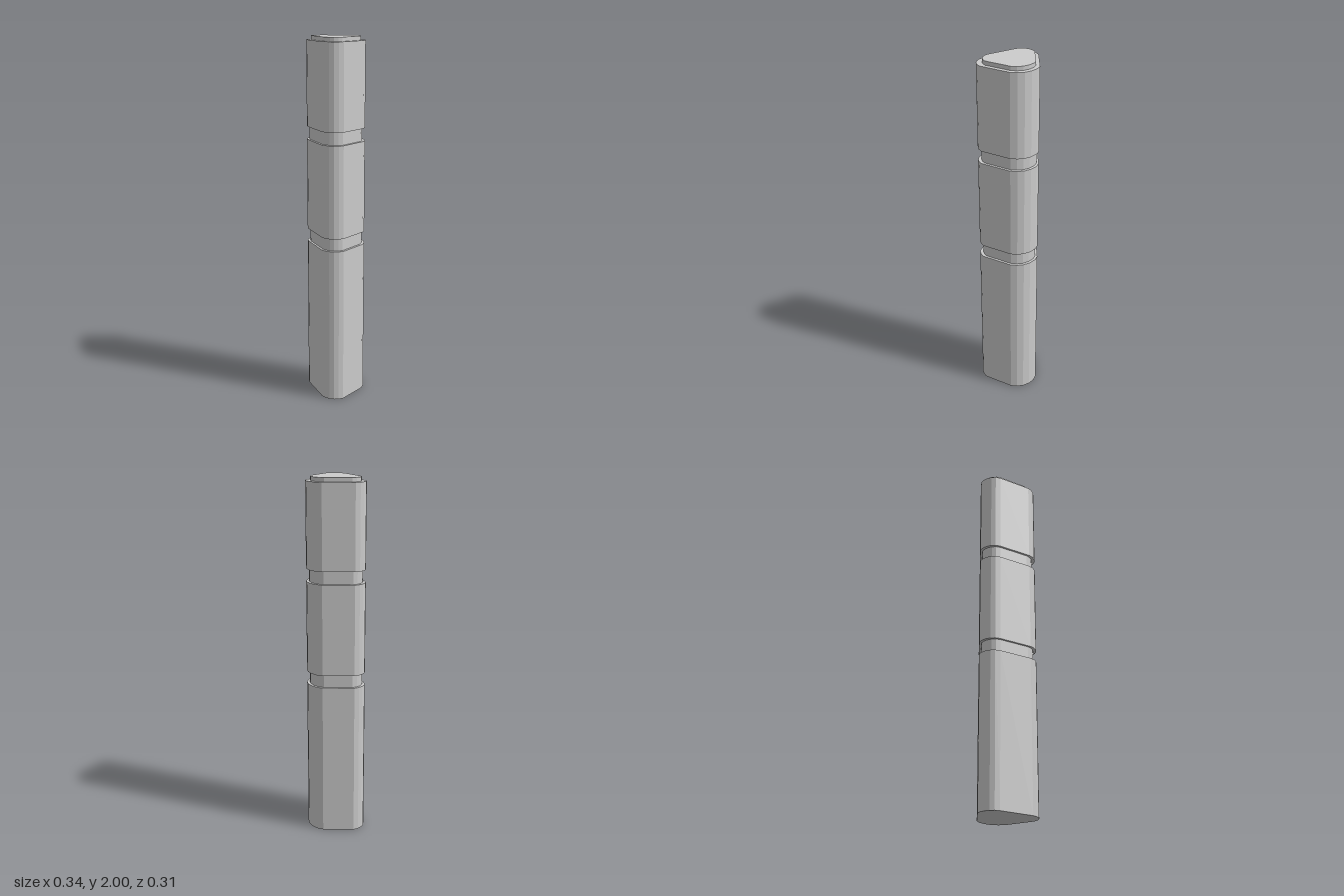
import * as THREE from 'three';

// Rounded-triangle cross-section as [x, z]
const OUTLINE = [
  [-0.038, -0.139], [-0.004, -0.153], [0.038, -0.154], [0.076, -0.143], [0.106, -0.121], [0.128, -0.091],
  [0.168, 0.079], [0.16, 0.105], [0.146, 0.127], [0.124, 0.143], [0.097, 0.152], [0.069, 0.152],
  [-0.119, 0.098], [-0.144, 0.084], [-0.16, 0.064], [-0.169, 0.038], [-0.17, 0.0125], [-0.162, -0.016],
];

// Stacked sections: name, bottom, top, outline scale
const SECTIONS = [
  ['lowerSegment', 0, 0.866, 1],
  ['lowerNeck', 0.866, 0.936, 0.905],
  ['middleSegment', 0.936, 1.443, 1],
  ['upperNeck', 1.443, 1.513, 0.905],
  ['upperSegment', 1.513, 1.978, 1],
  ['topCap', 1.978, 2, 0.84],
];

// Upright prism of the scaled outline between two heights
function prism(bottom, top, scale) {
  const shape = new THREE.Shape(OUTLINE.map(([x, z]) => new THREE.Vector2(x * scale, -z * scale)));
  const geometry = new THREE.ExtrudeGeometry(shape, { depth: top - bottom, bevelEnabled: false });
  return geometry.rotateX(-Math.PI / 2).translate(0, bottom, 0);
}

export function createModel() {
  const group = new THREE.Group();
  group.name = 'segmentedColumn';
  const material = new THREE.MeshStandardMaterial({ color: 0xcccccc, flatShading: true });
  for (const [name, bottom, top, scale] of SECTIONS) {
    const mesh = new THREE.Mesh(prism(bottom, top, scale), material);
    mesh.name = name;
    group.add(mesh);
  }
  return group;
}
